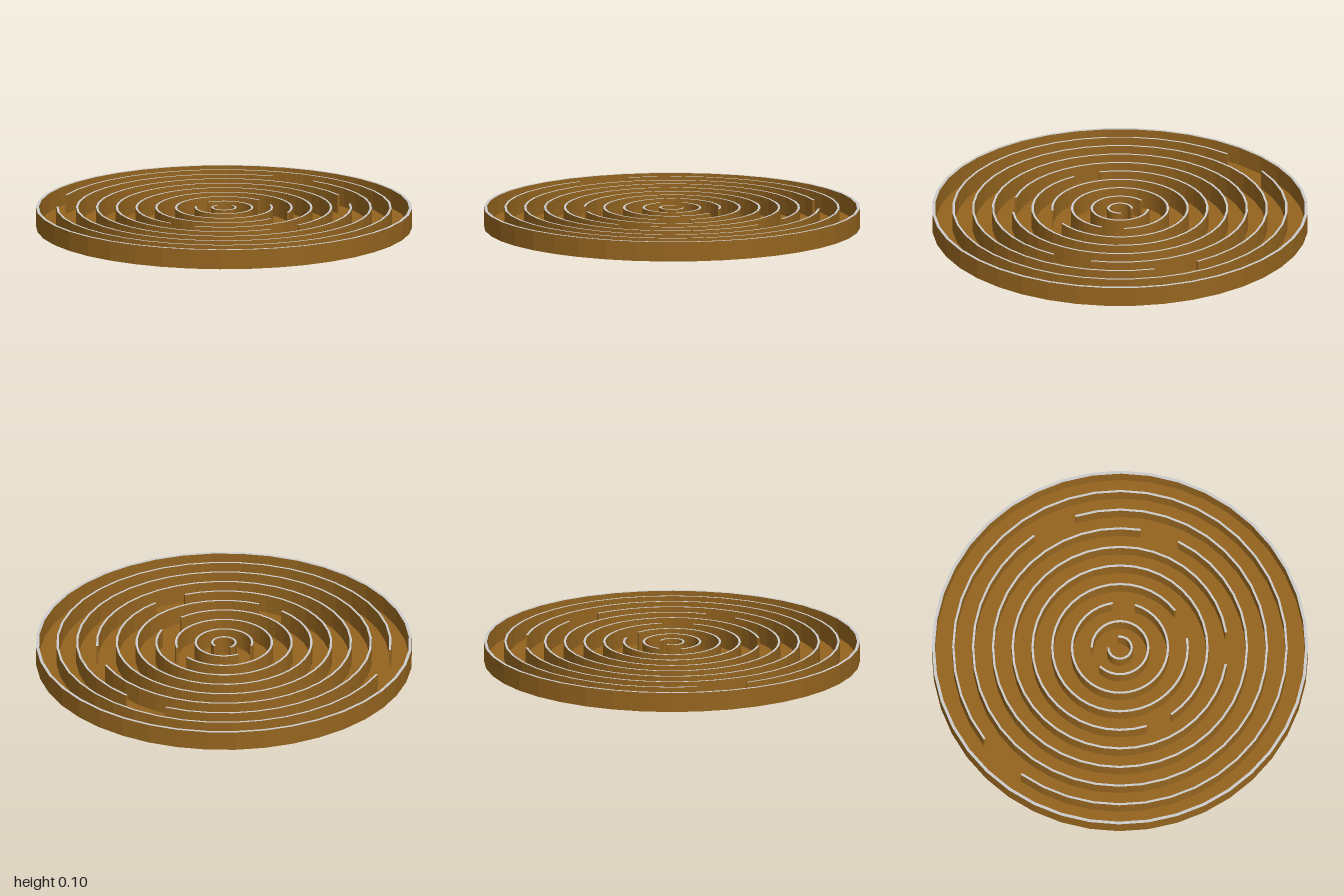
import * as THREE from 'three';

const HEIGHT = 0.105;
const FLOOR_Y = 0.004;
const STEP = 9; // degrees per facet, 40 facets to a full turn

const wood = new THREE.MeshStandardMaterial({ color: 0x94641f });
const woodFloor = new THREE.MeshStandardMaterial({ color: 0x94641f, side: THREE.DoubleSide });
const grey = new THREE.MeshStandardMaterial({ color: 0xcccccc });

// Points along a faceted arc; angles in degrees, from +x towards +z
function arc(radius, from, to) {
  const n = Math.round((to - from) / STEP);
  return Array.from({ length: n + 1 }, (_, i) => {
    const a = THREE.MathUtils.degToRad(from + i * STEP);
    return new THREE.Vector2(radius * Math.cos(a), radius * Math.sin(a));
  });
}

// Extrudes a plan outline into a wall with grey edges and wooden sides
function wall(shape, name) {
  const geometry = new THREE.ExtrudeGeometry(shape, { depth: HEIGHT, bevelEnabled: false });
  geometry.rotateX(Math.PI / 2).translate(0, HEIGHT, 0);
  const mesh = new THREE.Mesh(geometry, [grey, wood]);
  mesh.name = name;
  return mesh;
}

export function createModel() {
  const maze = new THREE.Group();
  maze.name = 'circularMaze';

  // Thin floor disc, turned so its corners meet the outer wall
  const floor = new THREE.Mesh(new THREE.CircleGeometry(0.99, 40), woodFloor);
  floor.geometry.rotateX(-Math.PI / 2);
  floor.position.y = FLOOR_Y;
  floor.name = 'floor';
  maze.add(floor);

  // Closed outer wall
  const rim = new THREE.Shape(arc(1, 0, 360 - STEP));
  rim.holes.push(new THREE.Path(arc(0.984, 0, 360 - STEP)));
  maze.add(wall(rim, 'outerWall'));

  // Inner walls: centre radius, gap start and gap end in degrees
  const rings = [
    [0.886, 189, 207],
    [0.781, -63, -45],
    [0.675, -18, 0],
    [0.57, 54, 72],
    [0.465, 117, 135],
    [0.36, 27, 54],
    [0.255, -36, -9],
    [0.15, 198, 243],
    [0.062, 243, 324],
  ];
  const half = 0.006;
  rings.forEach(([radius, gapStart, gapEnd], i) => {
    const outer = arc(radius + half, gapEnd, gapStart + 360);
    const inner = arc(radius - half, gapEnd, gapStart + 360).reverse();
    maze.add(wall(new THREE.Shape([...outer, ...inner]), `ringWall${i + 1}`));
  });

  return maze;
}
